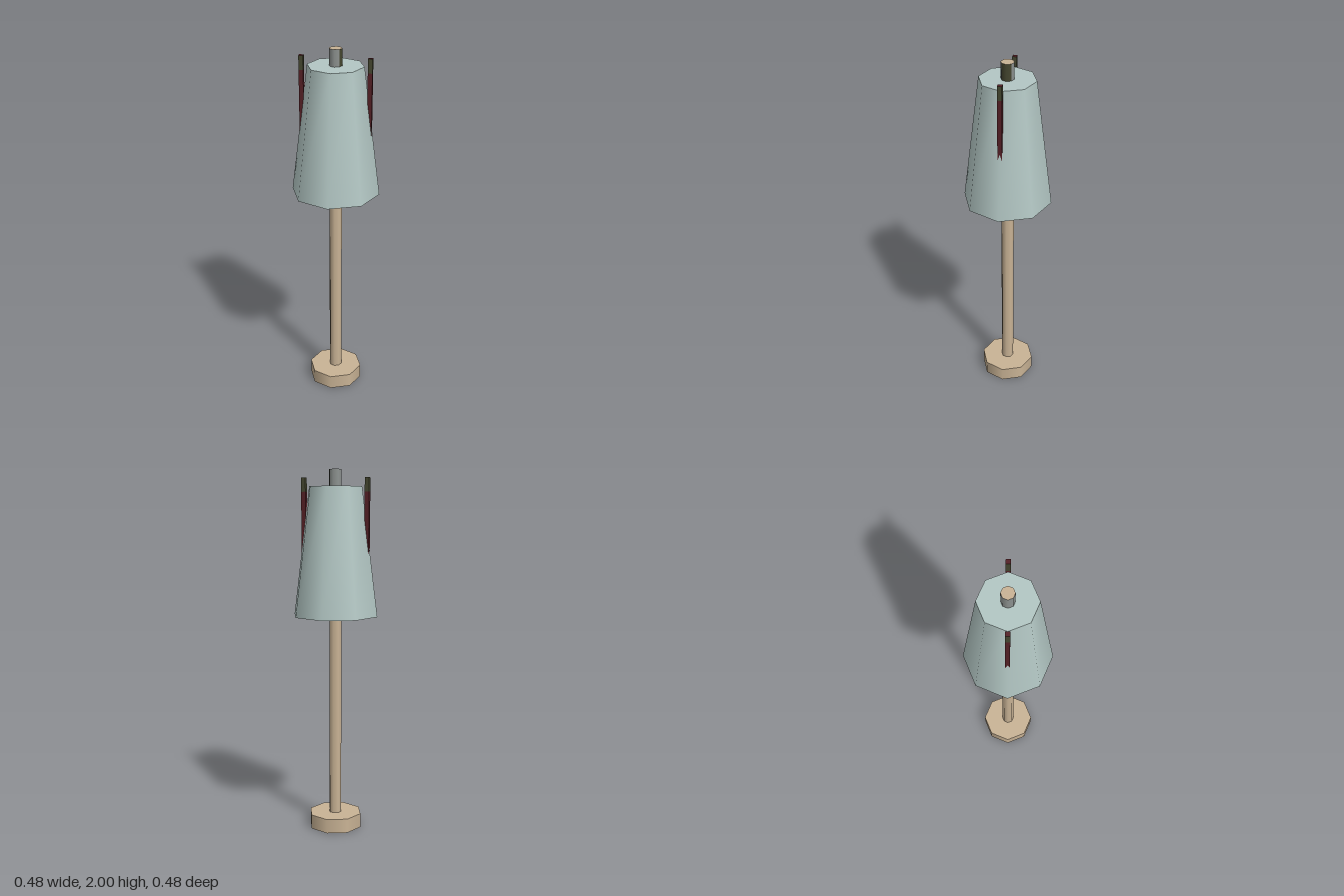
import * as THREE from 'three';

const mat = (name, color) => {
  const m = new THREE.MeshStandardMaterial({ color });
  m.name = name;
  return m;
};

export function createModel() {
  const group = new THREE.Group();
  const wood = mat('tan wood', 0xc9b395);
  const fabric = mat('pale teal', 0xb3c7c4);
  const red = mat('dark red', 0x541f25);
  const olive = mat('dark olive', 0x45462f);
  const grey = mat('grey', 0x8d9290);

  const add = (name, geometry, material, x, y) => {
    const mesh = new THREE.Mesh(geometry, material);
    mesh.name = name;
    mesh.position.set(x, y, 0);
    group.add(mesh);
    return mesh;
  };

  // Eight-sided cylinder spanning y0 to y1
  const octagon = (name, rTop, rBottom, y0, y1, material) =>
    add(name, new THREE.CylinderGeometry(rTop, rBottom, y1 - y0, 8), material, 0, (y0 + y1) / 2);

  octagon('base', 0.15, 0.15, 0, 0.08, wood);
  octagon('pole', 0.035, 0.035, 0.08, 1.91, wood);
  octagon('shade', 0.15, 0.24, 1.21, 1.91, fabric);

  // Pole tip above the shade: grey sides, olive on the +x side, wood cap
  const tip = octagon('poleTip', 0.035, 0.035, 1.91, 2, [grey, olive, wood]);
  tip.geometry.clearGroups();
  for (let i = 0; i < 8; i++) tip.geometry.addGroup(i * 6, 6, i === 1 || i === 2 ? 1 : 0);
  tip.geometry.addGroup(48, 48, 2);

  // Upright bars on both sides, with olive upper ends and red tops
  for (const side of [-1, 1]) {
    add('sideBar', new THREE.BoxGeometry(0.024, 0.38, 0.024), red, side * 0.18, 1.69);
    add('sideBarEnd', new THREE.BoxGeometry(0.024, 0.075, 0.024),
      [olive, olive, red, red, olive, olive], side * 0.18, 1.9175);
  }
  return group;
}
